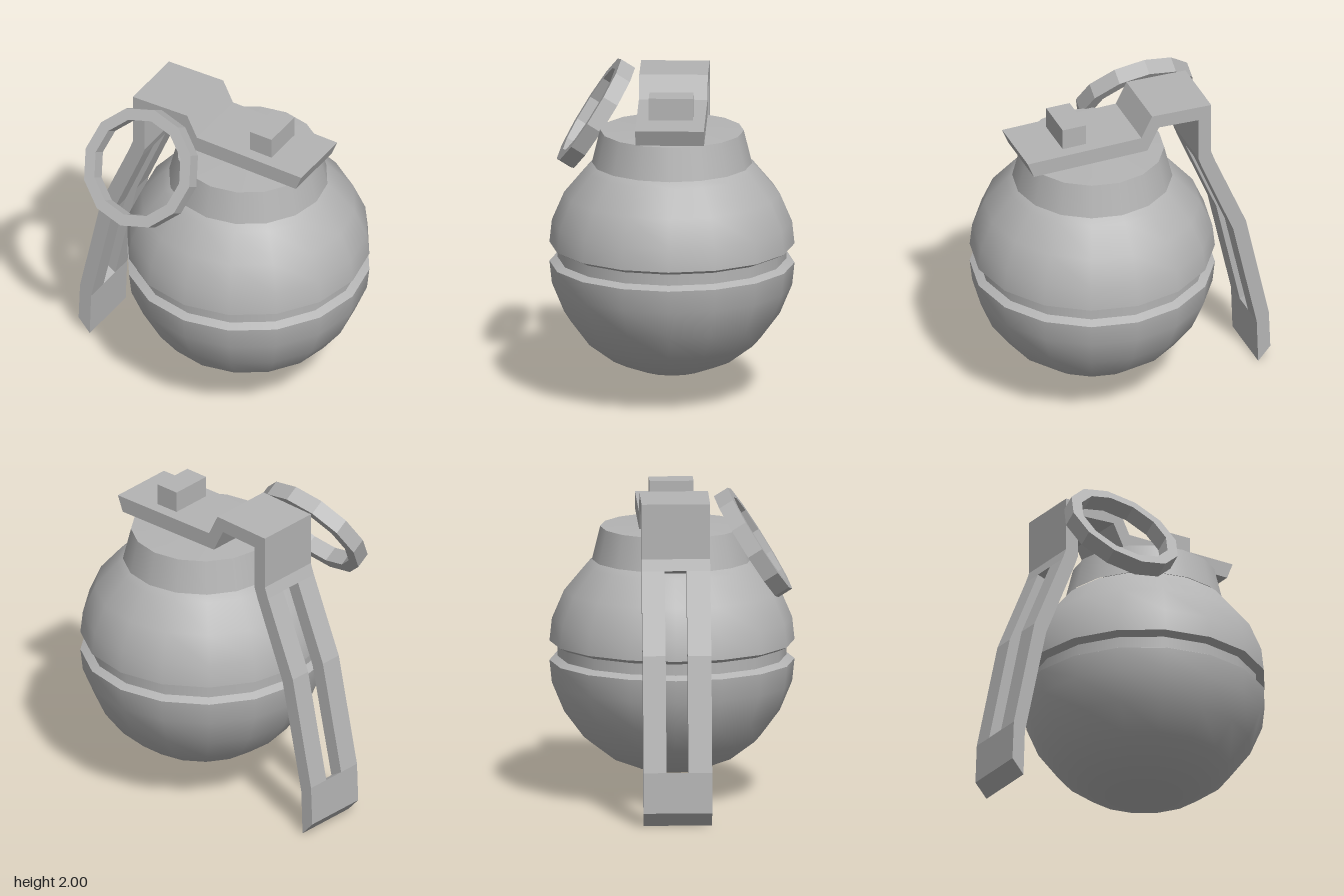
import * as THREE from 'three';

const metal = new THREE.MeshStandardMaterial({ color: 0xb4b4b4 });
metal.name = 'grey metal';

const vec = (pts) => pts.map(([x, y]) => new THREE.Vector2(x, y));

function part(name, geometry, parent) {
  const mesh = new THREE.Mesh(geometry, metal);
  mesh.name = name;
  parent.add(mesh);
  return mesh;
}

// Side profile in x/y, extruded between two depths
function slab(profile, z0, z1) {
  const g = new THREE.ExtrudeGeometry(new THREE.Shape(vec(profile)), { depth: z1 - z0, bevelEnabled: false });
  return g.translate(0, 0, z0);
}

// Regular polygon outline with a corner at the top
function polygon(radius, sides) {
  return Array.from({ length: sides }, (_, i) => {
    const a = Math.PI / 2 + (i / sides) * Math.PI * 2;
    return new THREE.Vector2(radius * Math.cos(a), radius * Math.sin(a));
  });
}

export function createModel() {
  const model = new THREE.Group();
  model.name = 'model';

  // Round body: each section is its own lathe so the edges between them stay sharp
  const body = new THREE.Group();
  body.name = 'body';
  body.position.x = 0.17;
  model.add(body);
  const sections = {
    lowerShell: [[0, 0.15], [0.2, 0.18], [0.38, 0.25], [0.54, 0.37], [0.66, 0.53], [0.735, 0.71], [0.75, 0.85]],
    grooveFloor: [[0.75, 0.85], [0.7, 0.875]],
    grooveWall: [[0.7, 0.875], [0.7, 0.945]],
    grooveCeiling: [[0.7, 0.945], [0.75, 0.97]],
    upperShell: [[0.75, 0.97], [0.735, 1.11], [0.66, 1.285], [0.53, 1.44], [0.485, 1.475]],
    neck: [[0.49, 1.475], [0.44, 1.68]],
    neckTop: [[0.44, 1.68], [0, 1.7]],
  };
  for (const [name, pts] of Object.entries(sections)) {
    part(name, new THREE.LatheGeometry(vec(pts), 16), body);
  }

  // Bent lever: solid head and foot joined by two rails beside a long slot
  const lever = new THREE.Group();
  lever.name = 'lever';
  model.add(lever);
  const slotTop = [[-0.555, 1.53], [-0.47, 1.5]];
  const slotEnd = [[-0.91, 0.34], [-0.83, 0.29]];
  part('leverHead', slab([
    [0.68, 1.8], [-0.07, 1.81], [-0.14, 1.95], [-0.53, 1.94], [-0.53, 1.6],
    slotTop[0], slotTop[1], [-0.445, 1.57], [-0.445, 1.85], [-0.185, 1.86], [-0.11, 1.71], [0.64, 1.7],
  ], -0.21, 0.21), lever);
  const rail = [slotTop[0], [-0.76, 1.04], slotEnd[0], slotEnd[1], [-0.675, 1], slotTop[1]];
  part('leverRailBack', slab(rail, -0.21, -0.07), lever);
  part('leverRailFront', slab(rail, 0.065, 0.21), lever);
  part('leverFoot', slab([slotEnd[0], [-0.92, 0.09], [-0.84, 0], slotEnd[1]], -0.21, 0.21), lever);

  // Block passing through the lever plate
  part('hingeBlock', new THREE.BoxGeometry(0.155, 0.26, 0.27).translate(0.342, 1.81, 0), model);

  // Twelve-sided pull ring leaning back over the body
  const ringShape = new THREE.Shape(polygon(0.372, 12));
  ringShape.holes.push(new THREE.Path(polygon(0.3, 12)));
  const ringGeometry = new THREE.ExtrudeGeometry(ringShape, { depth: 0.1, bevelEnabled: false });
  const ring = part('pullRing', ringGeometry.translate(0, 0, -0.05), model);
  ring.position.set(-0.305, 1.66, 0.48);
  ring.rotation.x = -0.56;

  return model;
}
